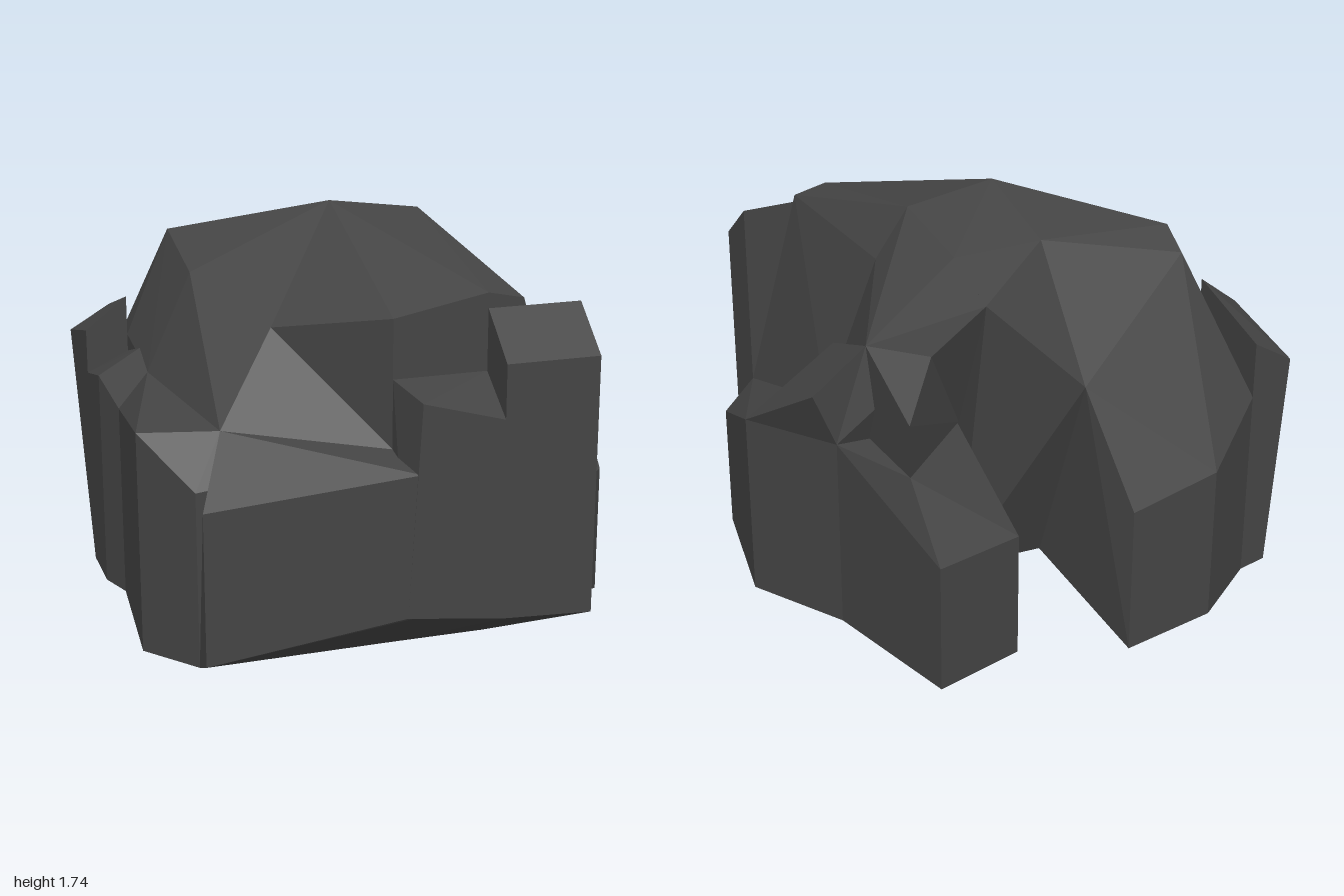
import * as THREE from 'three';
import { ConvexGeometry } from 'three/addons/geometries/ConvexGeometry.js';

// A low-poly boulder assembled from faceted convex chunks that interlock.
export function createModel() {
  const rock = new THREE.Group();
  rock.name = 'boulder';
  const material = new THREE.MeshStandardMaterial({ color: 0x444444, flatShading: true });

  // Each chunk is given as cross-sections: [z, [[x, y], ...]]
  const chunk = (name, sections) => {
    const points = [];
    for (const [z, outline] of sections) {
      for (const [x, y] of outline) points.push(new THREE.Vector3(x, y, z));
    }
    const mesh = new THREE.Mesh(new ConvexGeometry(points), material);
    mesh.name = name;
    rock.add(mesh);
  };

  // Central ridge, front and rear halves sharing the middle section
  const middle = [[-0.08, 0.09], [0.29, 0], [0.66, 0], [0.66, 0.94], [0.43, 1.5], [0.29, 1.69], [-0.08, 1.74]];
  chunk('ridgeFront', [
    [0.79, [[-0.08, 0.18], [0.29, 0.18], [0.66, 0.29], [0.66, 0.7], [0.43, 1.5], [0.29, 1.53], [-0.08, 1.46]]],
    [0, middle],
  ]);
  chunk('ridgeRear', [
    [0, middle],
    [-0.39, [[-0.08, 0.28], [0.29, 0.29], [0.66, 0.2], [0.66, 1.34], [0.43, 1.5], [0.29, 1.62], [-0.08, 1.62]]],
  ]);

  // Front right flank: base, sloping cap and the fin beside the notch
  chunk('rightBase', [
    [0, [[-0.95, 0.18], [-0.83, 0.09], [-0.08, 0.09], [-0.08, 1], [-0.83, 1.1], [-0.95, 0.96]]],
    [0.58, [[-1, 0.18], [-1, 1.05]]],
    [0.65, [[-0.7, 1.05]]],
    [0.79, [[-0.83, 0.18], [-0.83, 0.87], [-0.08, 0.18], [-0.08, 0.96]]],
  ]);
  chunk('rightCap', [
    [0, [[-0.83, 1.1], [-0.65, 1.49], [-0.08, 1.74], [-0.08, 0.9]]],
    [0.42, [[-0.44, 1.36]]],
    [0.65, [[-0.7, 1.05]]],
    [0.79, [[-0.08, 0.96]]],
  ]);
  chunk('notchFin', [
    [0, [[-0.08, 1.74]]],
    [0.42, [[-0.44, 1.36]]],
    [0.79, [[-0.08, 1.46], [-0.08, 0.96]]],
  ]);

  // Front slabs
  chunk('frontSlab', [
    [0.65, [[-0.7, 1.05]]],
    [0.79, [[-0.83, 0.18], [-0.08, 0.18], [-0.08, 0.96]]],
    [0.9, [[-0.83, 0.23], [-0.83, 0.83]]],
    [0.985, [[-0.08, 0.36], [-0.03, 0.36], [-0.03, 0.92]]],
  ]);
  chunk('frontStep', [
    [0.79, [[-0.08, 0.18], [0.29, 0.18], [0.29, 1.23], [-0.08, 1.23], [-0.08, 0.96]]],
    [0.985, [[-0.08, 0.36], [0.29, 0.31], [0.29, 1.1], [-0.03, 1.19], [-0.03, 0.92]]],
  ]);
  chunk('frontPillar', [
    [0.79, [[0.29, 0.18], [0.66, 0.29], [0.66, 1.47], [0.29, 1.47]]],
    [0.985, [[0.29, 0.31], [0.66, 0.29], [0.66, 1.31], [0.29, 1.31]]],
  ]);

  // Left shoulder, with a spur overhanging its rear
  const shoulder = [[0.66, 0], [1, 0.18], [1, 0.94], [0.66, 0.94]];
  chunk('leftShoulderFront', [
    [0.79, [[0.66, 0.29], [0.66, 0.7]]],
    [0.55, [[0.88, 0.18], [0.88, 0.7]]],
    [0, shoulder],
  ]);
  chunk('leftShoulderRear', [
    [0, shoulder],
    [-0.39, [[0.66, 0.2], [0.79, 0.18], [0.79, 0.96], [0.66, 0.96]]],
  ]);
  chunk('leftShoulderSpur', [
    [0, [[1, 0.94], [0.66, 0.94]]],
    [-0.09, [[0.88, 1.06], [0.66, 1.23]]],
    [-0.39, [[0.66, 0.96], [0.79, 0.96], [0.88, 1.18], [0.66, 1.34]]],
  ]);

  // Undercut back wall between the buttresses
  chunk('backWall', [
    [-0.39, [[-0.08, 0.28], [0.29, 0.29], [0.29, 1.62], [-0.08, 1.62]]],
    [-0.42, [[-0.08, 0.28], [0.29, 0.3], [0.29, 0.95]]],
    [-0.51, [[-0.08, 1.43]]],
    [-0.64, [[0.29, 1.52]]],
    [-0.74, [[-0.08, 1.15]]],
  ]);
  chunk('backBrow', [
    [-0.39, [[0.29, 0.95], [0.79, 0.96], [0.66, 1.34], [0.43, 1.5], [0.29, 1.62]]],
    [-0.42, [[0.29, 0.95]]],
    [-0.55, [[0.47, 1.32]]],
    [-0.64, [[0.29, 1.52]]],
  ]);
  chunk('backCheek', [
    [-0.39, [[0.66, 1.34], [0.66, 0.96], [0.5, 0.96]]],
    [-0.42, [[0.29, 0.95]]],
    [-0.55, [[0.47, 1.32]]],
    [-0.75, [[0.66, 0.96], [0.66, 1.17]]],
  ]);
  chunk('leftButtress', [
    [-0.39, [[0.29, 0.29], [0.79, 0.18], [0.79, 0.96], [0.29, 0.95]]],
    [-0.75, [[0.66, 0.96]]],
    [-0.9, [[0.29, 0.18], [0.29, 0.69]]],
    [-0.985, [[0.66, 0.18], [0.66, 0.7]]],
  ]);

  // Right rear crown and buttress
  const rearCrown = [[-0.83, 0.14], [-0.08, 0.28], [-0.08, 1.62], [-0.65, 1.58], [-0.83, 1.15]];
  chunk('rightCrown', [
    [0, [[-0.83, 0.09], [-0.08, 0.09], [-0.08, 1.74], [-0.65, 1.49], [-0.83, 1.1]]],
    [-0.39, rearCrown],
  ]);
  chunk('rightButtress', [
    [-0.39, rearCrown],
    [-0.42, [[-0.08, 0.28]]],
    [-0.5, [[-0.65, 1.5]]],
    [-0.51, [[-0.08, 1.43]]],
    [-0.74, [[-0.08, 1.15]]],
    [-0.78, [[-0.83, 0.16], [-0.83, 0.95]]],
    [-0.97, [[-0.54, 0.14], [-0.17, 0.09], [-0.17, 0.7], [-0.54, 0.78]]],
  ]);

  // Jagged ledge along the right side
  chunk('rightLedgeRear', [
    [-0.78, [[-0.94, 0.18], [-0.83, 0.16], [-0.83, 1.18], [-1, 1.08], [-0.94, 0.95]]],
    [-0.39, [[-1, 0.18], [-0.83, 0.14], [-0.83, 1.31], [-1, 1.18]]],
  ]);
  chunk('rightLedgeFront', [
    [-0.39, [[-1, 0.18], [-0.83, 0.14], [-0.83, 1.08], [-1, 1]]],
    [-0.14, [[-1, 0.18], [-0.83, 1.16], [-1, 1.06]]],
    [0, [[-0.95, 0.18], [-0.83, 0.09], [-0.83, 1.1], [-0.95, 0.96]]],
  ]);

  return rock;
}
